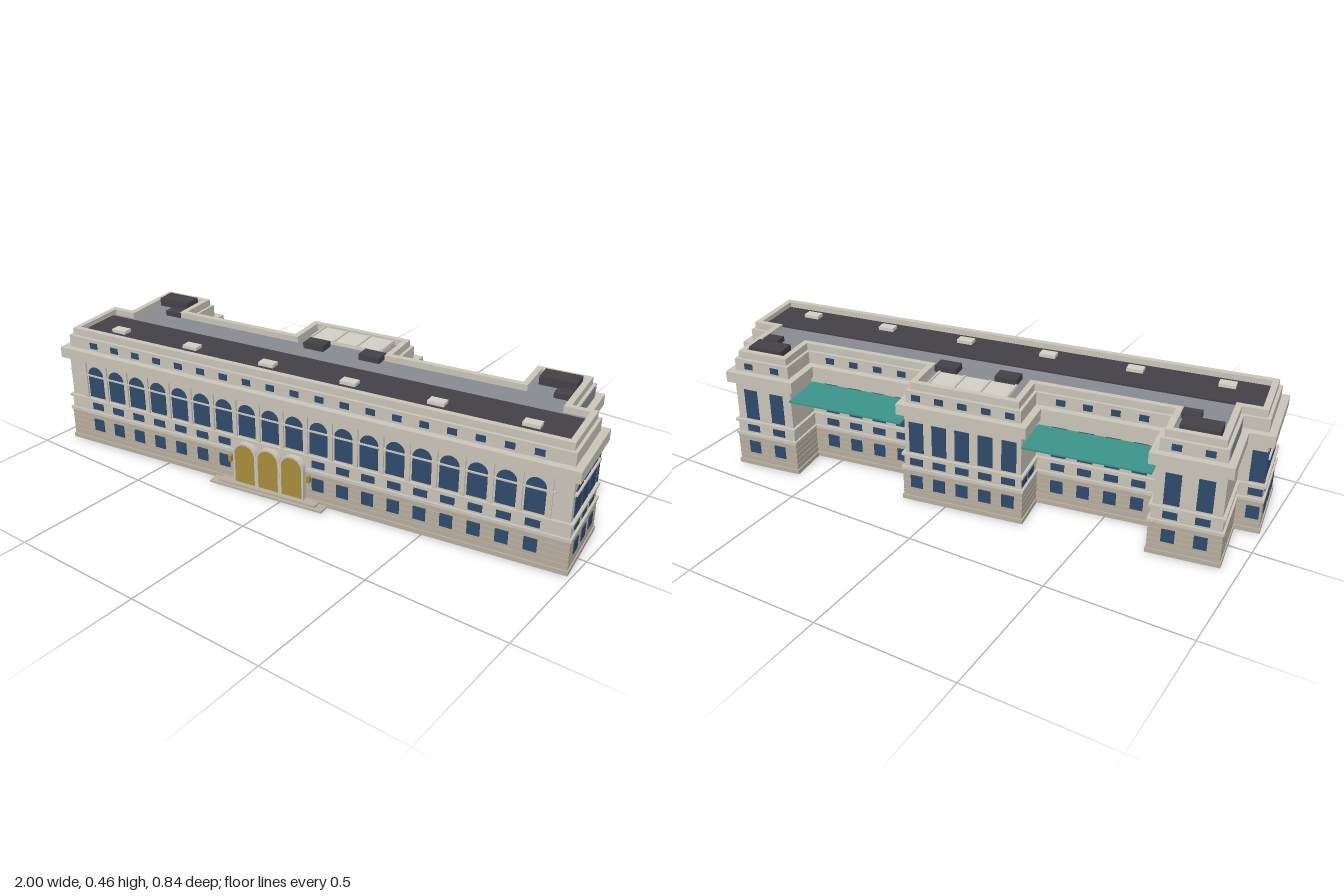
import * as THREE from 'three';

const paint = (color, side = THREE.FrontSide) => new THREE.MeshStandardMaterial({ color, side });
const STONE = paint(0xcac5b9), BASE = paint(0xb6ae9e), GLASS = paint(0x2f4a6c), GOLD = paint(0xa88d3c);
const TEAL = paint(0x3a9488, THREE.DoubleSide), DARK = paint(0x434146), ROOF = paint(0x878b90), PALE = paint(0xd2cfc6);

// outline of the widest cornice: half length, front, back of main block, wings, pavilion
const A = 0.985, F = 0.27, B = -0.047, W1 = 0.90, W0 = 0.634, P = 0.232, R = -0.287, C = -0.14;
const BAY = 0.0942;

// footprint polygon moved inwards by d
function outline(d) {
  const half = [[A - d, F - d], [A - d, B + d], [W1 - d, B + d], [W1 - d, R + d], [W0 + d, R + d],
    [W0 + d, C + d], [P - d, C + d], [P - d, R + d]];
  const all = [...half, ...half.map(([x, z]) => [-x, z]).reverse()];
  return all.map(([x, z]) => new THREE.Vector2(x, -z));
}

function add(parent, name, geometry, material, x = 0, y = 0, z = 0) {
  const mesh = new THREE.Mesh(geometry, material);
  mesh.name = name;
  mesh.position.set(x, y, z);
  parent.add(mesh);
  return mesh;
}

// storey or moulding following the footprint; a second inset makes it a ring
function layer(parent, name, y0, y1, inset, material, innerInset) {
  const shape = new THREE.Shape(outline(inset));
  if (innerInset) shape.holes.push(new THREE.Path(outline(innerInset)));
  const g = new THREE.ExtrudeGeometry(shape, { depth: y1 - y0, bevelEnabled: false });
  g.rotateX(-Math.PI / 2);
  return add(parent, name, g, material, 0, y0, 0);
}

function box(parent, name, material, w, h, d, x, y0, z) {
  return add(parent, name, new THREE.BoxGeometry(w, h, d), material, x, y0 + h / 2, z);
}

// round-headed slab standing on y = 0, front at z = 0
function archGeometry(w, h, depth) {
  const r = w / 2;
  const s = new THREE.Shape();
  s.moveTo(-r, 0);
  s.lineTo(r, 0);
  s.lineTo(r, h - r);
  s.absarc(0, h - r, r, 0, Math.PI, false);
  s.closePath();
  const g = new THREE.ExtrudeGeometry(s, { depth, bevelEnabled: false, curveSegments: 10 });
  return g.translate(0, 0, -depth);
}

// round-headed surround around an opening
function archFrame(w, h, t, depth) {
  const s = new THREE.Shape(), a = w / 2, b = a + t;
  s.moveTo(a, 0);
  s.lineTo(b, 0);
  s.lineTo(b, h - a);
  s.absarc(0, h - a, b, 0, Math.PI, false);
  s.lineTo(-b, 0);
  s.lineTo(-a, 0);
  s.lineTo(-a, h - a);
  s.absarc(0, h - a, a, Math.PI, 0, true);
  s.closePath();
  const g = new THREE.ExtrudeGeometry(s, { depth, bevelEnabled: false, curveSegments: 10 });
  return g.translate(0, 0, -depth);
}

const slab = (w, h) => new THREE.BoxGeometry(w, h, 0.01).translate(0, h / 2, -0.005);
const WINDOWS = {
  ground: { g: slab(0.044, 0.047), y: 0.053, z: -0.010 },
  mezzanine: { g: slab(0.048, 0.026), y: 0.14, z: -0.014 },
  arched: { g: archGeometry(0.066, 0.122, 0.01), y: 0.19, z: -0.018 },
  tall: { g: slab(0.052, 0.115), y: 0.19, z: -0.018 },
  attic: { g: slab(0.032, 0.022), y: 0.385, z: -0.023 },
};

// group lying on the outline plane, +z pointing outwards
function facade(parent, name, x, z, turn) {
  const g = new THREE.Group();
  g.name = name;
  g.position.set(x, 0, z);
  g.rotation.y = turn;
  parent.add(g);
  return g;
}

function windows(face, kinds, centres) {
  for (const kind of kinds) {
    const { g, y, z } = WINDOWS[kind];
    for (const u of centres) add(face, kind + 'Window', g, GLASS, u, y, z);
  }
}

const row = (n, step) => Array.from({ length: n }, (_, i) => (i - (n - 1) / 2) * step);

function addFacades(b) {
  // front: nineteen bays, three of them taken by the doors
  const front = facade(b, 'frontFacade', 0, F, 0);
  const bays = row(19, BAY);
  windows(front, ['arched', 'attic'], bays);
  windows(front, ['ground', 'mezzanine'], bays.filter((_, i) => i < 7 || i > 9));
  for (const u of row(20, BAY)) box(front, 'pilaster', STONE, 0.014, 0.152, 0.01, u, 0.183, -0.02);
  box(front, 'impostBand', STONE, 1.82, 0.006, 0.012, 0, 0.274, -0.02);

  for (const s of [-1, 1]) {
    // end walls
    const end = facade(b, 'endFacade', s * A, (F + B) / 2, s * Math.PI / 2);
    windows(end, ['ground', 'mezzanine', 'arched'], row(3, 0.08));
    box(end, 'impostBand', STONE, 0.26, 0.007, 0.014, 0, 0.274, -0.018);
    // narrow return behind the end wall
    const back = facade(b, 'returnFacade', s * (A + W1) / 2, B, Math.PI);
    windows(back, ['ground', 'mezzanine', 'tall'], [0]);
    // wing back wall and blind panel on its outer side
    const wing = facade(b, 'wingFacade', s * (W1 + W0) / 2, R, Math.PI);
    windows(wing, ['ground', 'mezzanine', 'tall', 'attic'], row(2, 0.105));
    box(b, 'atticPanel', ROOF, 0.01, 0.042, 0.19, s * (W1 - 0.029), 0.376, -0.145);
    // recessed wall with its canopy
    const mid = (W0 + P) / 2;
    const recess = facade(b, 'recessFacade', s * mid, C, Math.PI);
    windows(recess, ['ground', 'mezzanine', 'tall', 'attic'], row(4, BAY));
    box(b, 'canopy', TEAL, W0 - P + 0.03, 0.006, C - R + 0.02, s * mid, 0.298, (C + R) / 2 + 0.01);
    // pavilion side
    const side = facade(b, 'pavilionSide', s * P, (C + R) / 2, s * Math.PI / 2);
    windows(side, ['mezzanine'], row(2, 0.065));
  }

  const pavilion = facade(b, 'pavilionFacade', 0, R, Math.PI);
  windows(pavilion, ['ground', 'mezzanine', 'tall', 'attic'], row(5, 0.084));
}

function addEntrance(b) {
  const e = facade(b, 'entrance', -BAY, F, 0);
  const door = archGeometry(0.08, 0.152, 0.02), frame = archFrame(0.08, 0.152, 0.007, 0.024);
  for (const u of row(3, BAY)) {
    add(e, 'door', door, GOLD, u, 0.014, 0.003);
    add(e, 'doorSurround', frame, STONE, u, 0.014, 0.006);
  }
  for (const s of [-1, 1]) box(e, 'lantern', GOLD, 0.012, 0.024, 0.014, s * 0.158, 0.085, -0.004);
  box(e, 'lowerStep', BASE, 0.452, 0.007, 0.08, 0, 0, -0.006);
  box(e, 'upperStep', BASE, 0.39, 0.014, 0.06, 0, 0, -0.008);
}

function addRoof(b) {
  box(b, 'darkRoof', DARK, 1.85, 0.008, 0.17, 0, 0.422, 0.117);
  for (const u of row(6, 0.316)) box(b, 'skylight', PALE, 0.058, 0.014, 0.036, u, 0.428, 0.15);
  for (const s of [-1, 1]) box(b, 'wingPlantRoom', DARK, 0.128, 0.031, 0.07, s * 0.772, 0.424, -0.187);
  for (const u of [-0.722, 0.815]) box(b, 'smallPlantBox', DARK, 0.065, 0.019, 0.045, u, 0.424, -0.099);
  for (const u of [-0.092, 0.129]) box(b, 'middlePlantBox', DARK, 0.08, 0.022, 0.055, u, 0.424, -0.076);
  // glazed lantern over the pavilion
  box(b, 'pavilionSkylight', PALE, 0.29, 0.014, 0.125, 0, 0.424, -0.187);
  for (const u of row(4, 0.093)) box(b, 'skylightRib', STONE, 0.008, 0.018, 0.125, u, 0.424, -0.187);
}

export function createModel() {
  const model = new THREE.Group();
  model.name = 'palaceBuilding';
  const b = new THREE.Group();
  b.name = 'building';
  b.rotation.y = 0.1553;
  b.position.set(-0.0173, 0, 0.0027);
  model.add(b);

  // storeys and mouldings from the ground up
  layer(b, 'plinth', 0, 0.016, 0.009, BASE);
  layer(b, 'groundFloor', 0.016, 0.12, 0.0155, BASE);
  const course = 0.104 / 5;
  for (let i = 0; i < 5; i++) {
    layer(b, 'stoneCourse', 0.0175 + i * course, 0.0155 + (i + 1) * course, 0.013, BASE);
  }
  layer(b, 'lowerBand', 0.12, 0.131, 0.009, STONE);
  layer(b, 'mezzanine', 0.131, 0.174, 0.017, STONE);
  layer(b, 'upperBand', 0.174, 0.183, 0.010, STONE);
  layer(b, 'mainStorey', 0.183, 0.335, 0.021, STONE);
  layer(b, 'cornice', 0.335, 0.375, 0, STONE);
  layer(b, 'attic', 0.375, 0.42, 0.026, STONE);
  layer(b, 'parapet', 0.42, 0.446, 0.037, STONE, 0.058);
  layer(b, 'flatRoof', 0.42, 0.424, 0.056, ROOF);

  addFacades(b);
  addEntrance(b);
  addRoof(b);
  return model;
}
